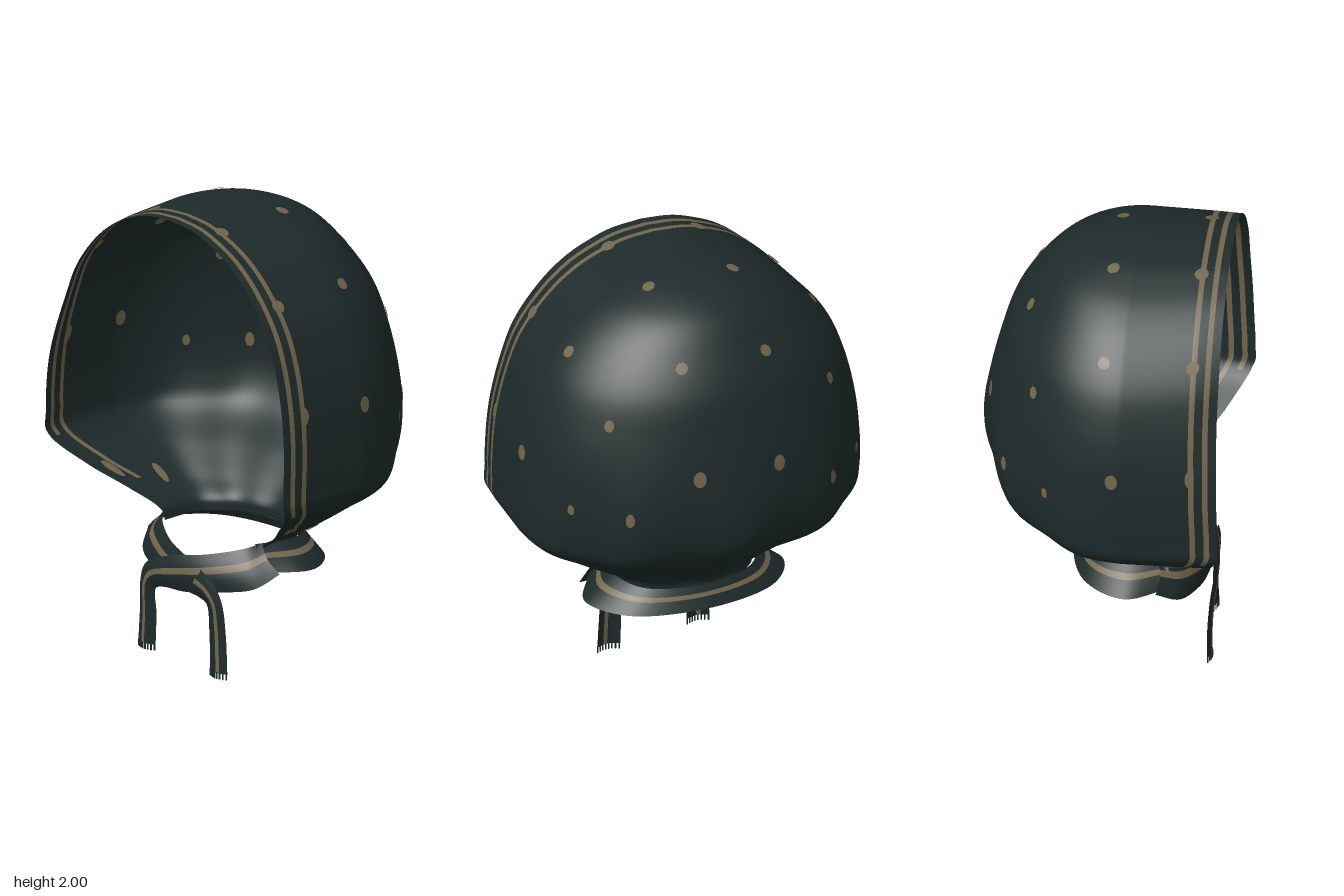
import * as THREE from 'three';

const V = (x, y, z) => new THREE.Vector3(x, y, z);
const mat = (name, color) => new THREE.MeshStandardMaterial({ name, color, side: THREE.DoubleSide });
const HALF = Math.PI / 2;
const smooth = THREE.MathUtils.smoothstep;

// Hood profile from crown to neck: height, half width, back z, front z
const PROFILE = [
  [2.0, 0, 0.11, 0.51], [1.988, 0.14, 0, 0.51], [1.96, 0.24, -0.11, 0.51], [1.9, 0.375, -0.225, 0.51],
  [1.8, 0.505, -0.315, 0.51], [1.64, 0.635, -0.415, 0.51], [1.48, 0.7, -0.465, 0.51], [1.3, 0.74, -0.505, 0.515],
  [1.12, 0.755, -0.525, 0.52], [0.97, 0.755, -0.505, 0.525], [0.87, 0.74, -0.45, 0.515],
  [0.74, 0.575, -0.27, 0.415], [0.64, 0.425, -0.155, 0.305], [0.57, 0.31, -0.1, 0.25], [0.525, 0.3, -0.1, 0.24],
];
const outline = new THREE.CatmullRomCurve3(PROFILE.map(([y, w, b]) => V(w, y, b)));
const rim = new THREE.CatmullRomCurve3(PROFILE.map(([, , , f], i) => V(f, i, 0)));
const ZC = 0.12; // where the round back meets the straight sides

function section(v) {
  const o = outline.getPoint(v);
  return { y: o.y, w: Math.max(o.x, 0), d: Math.max(ZC - o.z, 0.005), f: rim.getPoint(v).x };
}

// Point on the hood: v runs crown to neck, |q| < 90 degrees is the back, beyond that the side
function hoodPoint(v, q) {
  const s = section(v), a = Math.abs(q), side = Math.sign(q);
  if (a > HALF) {
    const t = a - HALF, upper = smooth(s.y, 1.1, 1.6);
    const pinch = 0.045 * smooth(s.y, 0.7, 1) + 0.04 * upper;
    return V(side * s.w * (1 - pinch * t * t) + 0.02 * upper * t * t, s.y, ZC + t * (s.f - ZC));
  }
  const fold = 0.028 * (1 - smooth(s.y, 0.75, 1.45));
  const r = 1 + fold * Math.cos(10 * q) * Math.cos(q);
  return V(s.w * r * Math.sin(q), s.y, ZC - s.d * r * Math.cos(q));
}

// Surface grid whose chosen cells take the second material
function grid(name, rows, cols, point, isStripe, materials) {
  const pos = [], plain = [], stripe = [];
  for (let i = 0; i <= rows; i++)
    for (let j = 0; j <= cols; j++) pos.push(...point(i / rows, j).toArray());
  for (let i = 0; i < rows; i++)
    for (let j = 0; j < cols; j++) {
      const a = i * (cols + 1) + j, b = a + cols + 1;
      (isStripe(j, i / rows) ? stripe : plain).push(a, b, a + 1, b, b + 1, a + 1);
    }
  const g = new THREE.BufferGeometry();
  g.setAttribute('position', new THREE.Float32BufferAttribute(pos, 3));
  g.setIndex([...plain, ...stripe]);
  g.addGroup(0, plain.length, 0);
  g.addGroup(plain.length, stripe.length, 1);
  g.computeVertexNormals();
  const m = new THREE.Mesh(g, materials);
  m.name = name;
  return m;
}

// Hood with two stripes along the face opening; the outer one stops at the jaw
function makeHood(materials) {
  const offsets = [0, 0.035, 0.058, 0.093, 0.116];
  const columns = [];
  for (const o of offsets) columns.push(f => HALF + 1 - o / (f - ZC));
  const n = 64;
  for (let k = 0; k <= n; k++) columns.push(() => HALF * (1 - 2 * k / n));
  for (const o of [...offsets].reverse()) columns.push(f => -HALF - 1 + o / (f - ZC));
  const last = columns.length - 1;
  const isStripe = (j, v) => {
    const fromRim = Math.min(j, last - 1 - j);
    return (fromRim === 1 && v < 0.72) || (fromRim === 3 && v < 0.83);
  };
  return grid('hood', 98, last, (v, j) => hoodPoint(v, columns[j](section(v).f)), isStripe, materials);
}

// Oval dot following the cloth, seen outside and inside
function makeDot(y, q, wide, tall, material) {
  let lo = 0, hi = 1;
  for (let i = 0; i < 30; i++) {
    const mid = (lo + hi) / 2;
    if (section(mid).y > y) lo = mid; else hi = mid;
  }
  const v = lo, e = 0.002;
  const dv = hoodPoint(v + e, q).sub(hoodPoint(v - e, q)).divideScalar(2 * e);
  const dq = hoodPoint(v, q + e).sub(hoodPoint(v, q - e)).divideScalar(2 * e);
  const normal = dv.clone().cross(dq).normalize();
  const pos = [], idx = [], n = 12;
  [-0.005, 0.005].forEach((lift, layer) => {
    for (let k = 0; k <= n; k++) {
      const r = k ? 1 : 0, t = (k / n) * Math.PI * 2;
      const p = hoodPoint(v + r * tall * Math.sin(t) / dv.length(), q + r * wide * Math.cos(t) / dq.length());
      pos.push(...p.addScaledVector(normal, lift).toArray());
      const b = layer * (n + 1);
      if (k) idx.push(...(layer ? [b, b + k, b + (k % n) + 1] : [b, b + (k % n) + 1, b + k]));
    }
  });
  const g = new THREE.BufferGeometry();
  g.setAttribute('position', new THREE.Float32BufferAttribute(pos, 3));
  g.setIndex(idx);
  g.computeVertexNormals();
  const m = new THREE.Mesh(g, material);
  m.name = 'dot';
  return m;
}

function makeDots(material) {
  const group = new THREE.Group();
  group.name = 'dots';
  const at = y => {
    let v = 0;
    while (v < 1 && section(v).y > y) v += 0.001;
    return section(v);
  };
  const add = (y, q, wide, tall) => [q, -q].forEach(a => group.add(makeDot(y, a, wide, tall, material)));
  // back dots: height, x, half width, half height
  for (const [y, x, wide, tall] of [[1.76, 0.19, 0.026, 0.027], [1.31, 0.18, 0.028, 0.037],
    [1.53, 0.5, 0.022, 0.027], [1.13, 0.455, 0.02, 0.033]])
    add(y, Math.asin(x / at(y).w), wide, tall);
  // side dots: height, z, half width, half height
  for (const [y, z, wide, tall] of [[1.97, 0.03, 0.026, 0.028], [1.74, 0.03, 0.026, 0.027], [1.27, 0.08, 0.027, 0.035],
    [1.125, -0.21, 0.016, 0.025], [0.66, 0.12, 0.02, 0.058], [1.97, 0.4, 0.03, 0.03],
    [1.73, 0.4, 0.028, 0.03], [1.29, 0.405, 0.02, 0.038], [0.71, 0.32, 0.02, 0.06]]) {
    const s = at(y);
    add(y, z < ZC ? Math.acos((ZC - z) / s.d) : HALF + (z - ZC) / (s.f - ZC), wide, tall);
  }
  return group;
}

// Striped ribbon between two edge curves, slightly bowed forward
function ribbon(name, edgeA, edgeB, mirror, shift, bow, materials) {
  const a = new THREE.CatmullRomCurve3(edgeA.map(p => V(...p)));
  const b = new THREE.CatmullRomCurve3(edgeB.map(p => V(...p)));
  const across = [0, 0.16, 0.32, 0.5, 0.67, 0.85, 1];
  return grid(name, 60, across.length - 1, (t, j) => {
    const s = across[j], p = a.getPoint(t).lerp(b.getPoint(t), s);
    p.z += bow * Math.sin(Math.PI * s) + shift;
    p.x *= mirror;
    return p;
  }, j => j === 2, materials);
}

export function createModel() {
  const model = new THREE.Group();
  model.name = 'headscarf';
  const cloth = mat('dark teal cloth', 0x1e2a2a);
  const tan = mat('tan print', 0x71654c);
  const both = [cloth, tan];

  model.add(makeHood(both), makeDots(tan));

  // Flared collar round the back of the neck
  const around = pts => [...pts, ...pts.slice(0, -1).reverse().map(([x, y, z]) => [-x, y, z])];
  model.add(ribbon('collar',
    around([[0.28, 0.575, 0.27], [0.32, 0.57, 0.1], [0.24, 0.56, -0.045], [0, 0.555, -0.105]]),
    around([[0.36, 0.47, 0.28], [0.45, 0.465, 0.1], [0.33, 0.465, -0.08], [0, 0.465, -0.155]]),
    1, 0, 0, both));

  // Two ties crossing in front, each ending in a fringed tail
  for (const [name, mirror, shift, end] of [['leftTie', 1, 0, 0.055], ['rightTie', -1, -0.02, 0.025]]) {
    const tie = new THREE.Group();
    tie.name = name;
    tie.add(ribbon('tieBand',
      [[0.29, 0.575, 0.24], [0.26, 0.56, 0.31], [0.12, 0.52, 0.4], [-0.06, 0.48, 0.445],
        [-0.19, 0.42, 0.45], [-0.235, 0.34, 0.44], [-0.25, 0.2, 0.43], [-0.26, end, 0.43]],
      [[0.41, 0.47, 0.25], [0.35, 0.41, 0.34], [0.2, 0.375, 0.41], [0.03, 0.34, 0.435],
        [-0.1, 0.33, 0.44], [-0.145, 0.31, 0.44], [-0.15, 0.2, 0.43], [-0.155, end, 0.43]],
      mirror, shift, 0.018, both));
    for (let k = 0; k < 8; k++) {
      const thread = new THREE.Mesh(new THREE.BoxGeometry(0.005, 0.03, 0.005), cloth);
      thread.name = 'fringe';
      const s = (k + 0.3) / 7.6;
      thread.position.set(mirror * (-0.26 + 0.105 * s), end - 0.01, 0.43 + shift + 0.018 * Math.sin(Math.PI * s));
      tie.add(thread);
    }
    model.add(tie);
  }
  return model;
}
